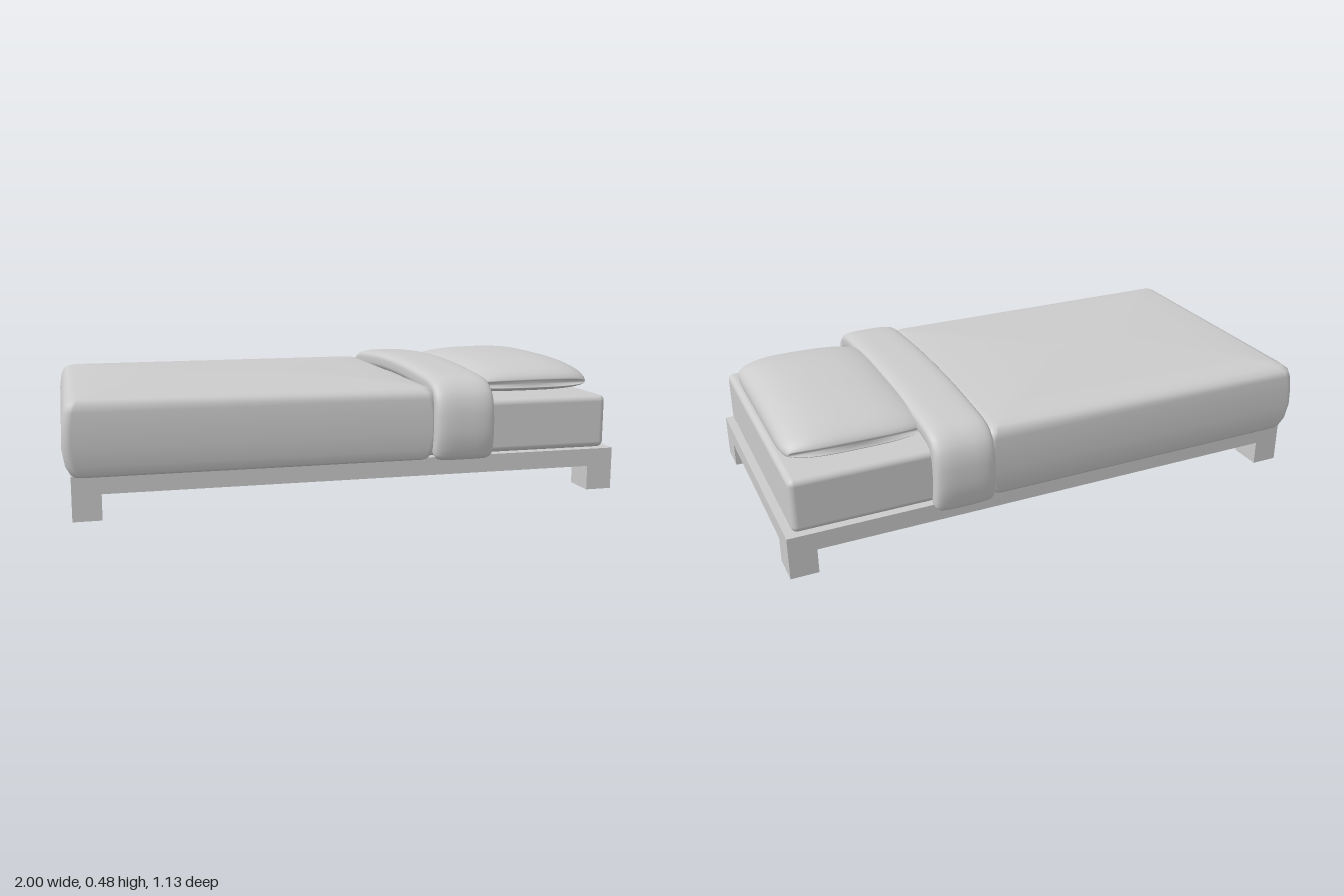
import * as THREE from 'three';
import { RoundedBoxGeometry } from 'three/addons/geometries/RoundedBoxGeometry.js';

const material = new THREE.MeshStandardMaterial({ color: 0xcccccc });

// Skin a closed surface over rings of points, capping both ends.
function loft(rings) {
  const n = rings[0].length, pos = [], idx = [];
  for (const ring of rings) for (const p of ring) pos.push(...p);
  for (let r = 0; r < rings.length - 1; r++) {
    for (let i = 0; i < n; i++) {
      const a = r * n + i, b = r * n + (i + 1) % n;
      idx.push(a, b, b + n, a, b + n, a + n);
    }
  }
  [0, rings.length - 1].forEach((r, end) => {
    const c = pos.length / 3;
    pos.push(...[0, 1, 2].map(k => rings[r].reduce((s, p) => s + p[k], 0) / n));
    for (let i = 0; i < n; i++) {
      const a = r * n + i, b = r * n + (i + 1) % n;
      idx.push(c, end ? a : b, end ? b : a);
    }
  });
  // Turn the faces outward if the enclosed volume comes out negative.
  const v = i => new THREE.Vector3().fromArray(pos, i * 3);
  let volume = 0;
  for (let i = 0; i < idx.length; i += 3) volume += v(idx[i]).dot(v(idx[i + 1]).cross(v(idx[i + 2])));
  if (volume < 0) idx.reverse();
  const geo = new THREE.BufferGeometry();
  geo.setAttribute('position', new THREE.Float32BufferAttribute(pos, 3));
  geo.setIndex(idx);
  geo.computeVertexNormals();
  return geo;
}

// Superellipse outline: a higher power gives a boxier shape.
function superellipse(n, rx, ry, power) {
  const bend = c => Math.sign(c) * Math.abs(c) ** (2 / power);
  return Array.from({ length: n }, (_, i) => {
    const t = (i + 0.5) / n * Math.PI * 2;
    return [rx * bend(Math.cos(t)), ry * bend(Math.sin(t))];
  });
}

// Rectangle outline with rounded corners.
function roundedRect(hx, hz, r) {
  const pts = [];
  [[1, 1], [-1, 1], [-1, -1], [1, -1]].forEach(([sx, sz], q) => {
    for (let i = 0; i <= 4; i++) {
      const t = (q + i / 4) * Math.PI / 2;
      pts.push([sx * (hx - r) + r * Math.cos(t), sz * (hz - r) + r * Math.sin(t)]);
    }
  });
  return pts;
}

function duvetGeometry() {
  // height, inset from the widest outline
  const levels = [[0.152, 0.036], [0.16, 0.026], [0.19, 0.01], [0.25, 0], [0.32, 0.002], [0.37, 0.009],
    [0.395, 0.018], [0.408, 0.032], [0.414, 0.055], [0.42, 0.15], [0.426, 0.3], [0.43, 0.46]];
  return loft(levels.map(([y, inset]) =>
    roundedRect(0.65 - inset, 0.52 - inset * (y < 0.4 ? 0.5 : 1), 0.03)
      .map(([x, z]) => [x - 0.348, y, z])));
}

function foldGeometry() {
  // Centre line of the folded band, draped across the bed from side to side
  const half = [[0.515, 0.18], [0.526, 0.23], [0.525, 0.3], [0.515, 0.355], [0.485, 0.393], [0.3, 0.418]];
  const points = [...half, [0, 0.429], ...half.map(([z, y]) => [-z, y]).reverse()];
  const path = new THREE.CatmullRomCurve3(points.map(([z, y]) => new THREE.Vector3(0, y, z)), false, 'centripetal');
  const steps = 64, rings = [];
  const addRing = (t, scale, push) => {
    const p = path.getPointAt(t), d = path.getTangentAt(t);
    rings.push(superellipse(32, 0.11 - 0.037 * (1 - scale), 0.037 * scale, 3.6).map(([x, h]) =>
      [0.388 + x, p.y + d.y * push - d.z * h, p.z + d.z * push + d.y * h]));
  };
  // Rounded ends
  const ends = [[0.25, 0.028], [0.65, 0.023], [0.9, 0.013]];
  ends.forEach(([s, push]) => addRing(0, s, -push));
  for (let i = 0; i <= steps; i++) addRing(i / steps, 1, 0);
  ends.reverse().forEach(([s, push]) => addRing(1, s, push));
  return loft(rings);
}

function pillowGeometry() {
  const rings = [], steps = 40;
  for (let i = 0; i <= steps; i++) {
    const v = -Math.cos(i / steps * Math.PI) * 0.999;
    const puff = (1 - Math.abs(v) ** 3.2) ** 0.5;
    const length = 0.255 * (1 - 0.08 * Math.abs(v) ** 12);
    rings.push(superellipse(40, 1, 1, 2.7).map(([u, h]) => {
      // Plump top leaning up to the head, nearly flat underside
      const y = h > 0 ? 0.39 + h * (0.012 + 0.076 * puff) * (1 + 0.06 * u) : 0.39 + h * (0.008 + 0.034 * puff);
      // Sides bulge in the middle and pull in towards the corners
      return [0.705 + u * length, y, v * (0.395 - 0.03 * u ** 4)];
    }));
  }
  return loft(rings);
}

export function createModel() {
  const model = new THREE.Group();
  const add = (name, geo, x = 0, y = 0, z = 0) => {
    const mesh = new THREE.Mesh(geo, material);
    mesh.name = name;
    mesh.position.set(x, y, z);
    model.add(mesh);
  };

  // Frame on four square legs
  add('bedFrame', new THREE.BoxGeometry(1.97, 0.065, 0.97), 0.013, 0.1225, 0);
  for (const [end, x] of [['foot', -0.923], ['head', 0.949]]) {
    for (const [side, z] of [['Front', 0.425], ['Back', -0.425]]) {
      add(`${end}${side}Leg`, new THREE.BoxGeometry(0.098, 0.092, 0.12), x, 0.046, z);
    }
  }

  // Bedding
  add('mattress', new RoundedBoxGeometry(1.92, 0.196, 0.94, 4, 0.022), 0.013, 0.254, 0);
  add('duvet', duvetGeometry());
  add('duvetFold', foldGeometry());
  add('pillow', pillowGeometry());
  return model;
}
